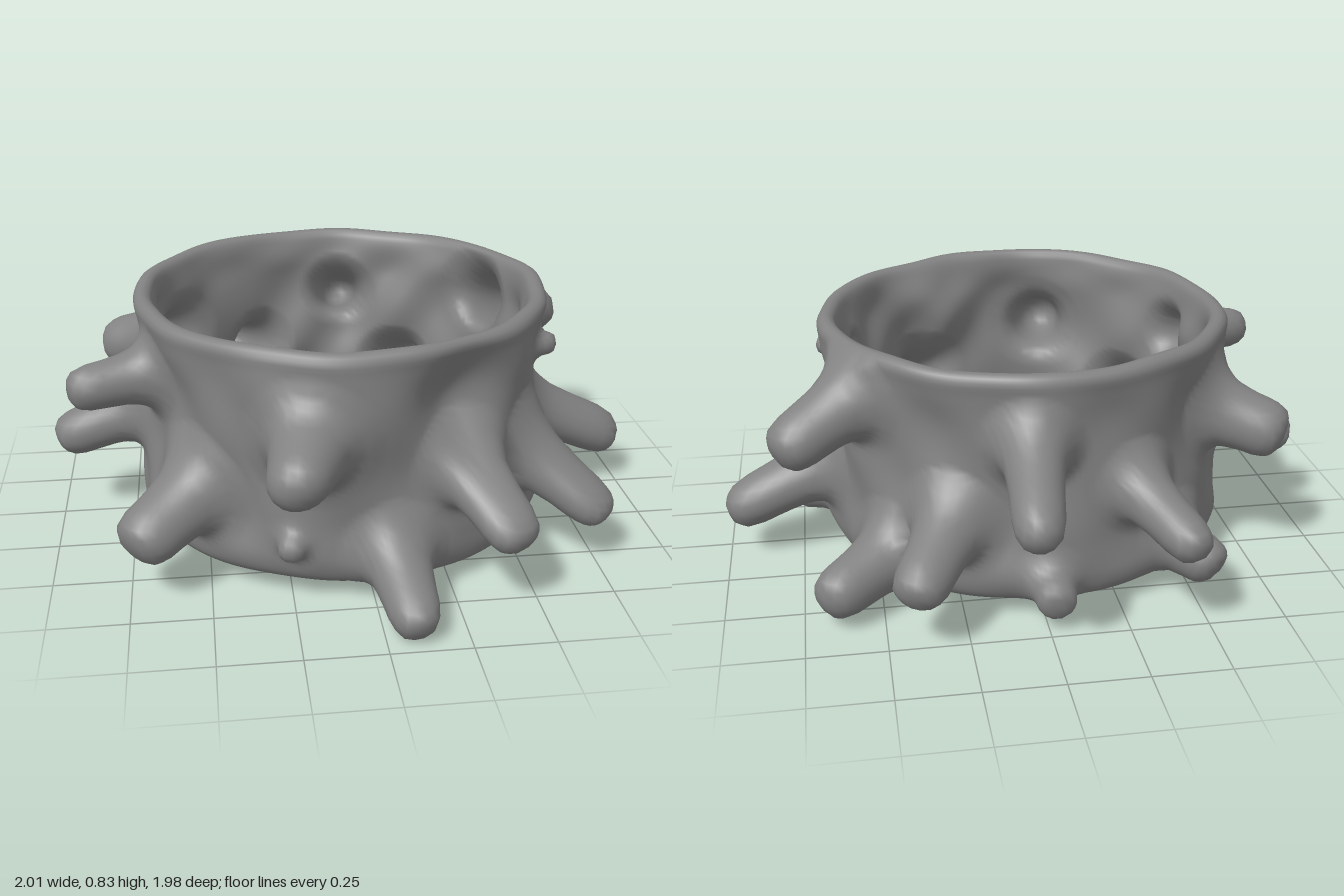
import * as THREE from 'three';
import { mergeVertices } from 'three/addons/utils/BufferGeometryUtils.js';

const CENTRE = new THREE.Vector3(-0.03, 0, 0.035);

// Spikes: tip x, y, z, height of the root, radius
const SPIKES = [
  [-0.265, 0.50, 0.985, 0.55, 0.105],
  [0.10, 0.04, 0.99, 0.17, 0.085],
  [0.43, 0.25, 0.85, 0.41, 0.095],
  [0.78, 0.16, 0.55, 0.36, 0.1],
  [0.78, 0.14, 0.15, 0.17, 0.085],
  [1.00, 0.17, -0.06, 0.33, 0.1],
  [0.81, 0.53, -0.43, 0.66, 0.1],
  [0.69, 0.11, -0.63, 0.17, 0.09],
  [0.43, 0.21, -0.82, 0.32, 0.09],
  [0.08, 0.46, -0.99, 0.60, 0.08],
  [-0.43, 0.32, -0.86, 0.42, 0.08],
  [-0.565, 0.11, -0.63, 0.18, 0.085],
  [-0.83, 0.48, -0.41, 0.55, 0.1],
  [-1.00, 0.29, 0.00, 0.41, 0.09],
  [-0.92, 0.60, 0.34, 0.62, 0.075],
  [-0.74, 0.20, 0.65, 0.31, 0.105],
  // small nubs
  [-0.27, 0.19, 0.75, 0.21, 0.045],
  [0.67, 0.65, 0.24, 0.65, 0.04],
  [-0.02, 0.11, -0.75, 0.13, 0.065],
];

// Spike outline: share of the root disc -> [width, length]
const OUTLINE = [
  [0, 0, 1], [0.12, 0.25, 0.98], [0.24, 0.42, 0.9], [0.35, 0.49, 0.74],
  [0.5, 0.51, 0.47], [0.66, 0.57, 0.22], [0.82, 0.74, 0.07], [1, 1, 0],
];
function outlineAt(t) {
  const k = Math.max(1, OUTLINE.findIndex((o) => o[0] >= t));
  const a = OUTLINE[k - 1], b = OUTLINE[k], f = (t - a[0]) / (b[0] - a[0]);
  return [a[1] + (b[1] - a[1]) * f, a[2] + (b[2] - a[2]) * f];
}

// Root, direction and reach of every spike, for a wall of the given radius
function rootsOn(wallRadius, widthScale, lengthScale) {
  return SPIKES.map(([x, y, z, rootY, r]) => {
    const tip = new THREE.Vector3(x, y, z);
    const root = tip.clone().sub(CENTRE).setY(0).setLength(wallRadius).add(CENTRE).setY(rootY);
    const dir = tip.clone().sub(root);
    const length = dir.length() * lengthScale;
    return { root, dir: dir.normalize(), length, reach: 2 * r * widthScale };
  });
}

// Pull the wall near a root out along its spike
function pullSpike(p, roots) {
  let best = null, bestT = 1;
  for (const s of roots) {
    const t = p.distanceTo(s.root) / s.reach;
    if (t < bestT) { bestT = t; best = s; }
  }
  if (!best) return;
  const t = Math.max(bestT, 1e-3);
  const [width, along] = outlineAt(t);
  const off = p.clone().sub(best.root);
  const axial = off.dot(best.dir);
  off.addScaledVector(best.dir, -axial).multiplyScalar(width / t);
  p.copy(best.root).add(off).addScaledVector(best.dir, axial * t * t + along * best.length);
}

// Soft unevenness of the wall, with a dent and a swelling in the front
function wobble(angle, y) {
  const dent = Math.hypot((angle - 0.47) * 0.68, y - 0.66) / 0.13;
  const swell = Math.hypot((angle + 0.17) * 0.68, y - 0.6) / 0.19;
  const calm = THREE.MathUtils.smoothstep(y, 0.04, 0.2)
    * (1 - 0.6 * THREE.MathUtils.smoothstep(y, 0.65, 0.82));
  return calm * (0.007 * Math.sin(5 * angle + 7 * y) + 0.006 * Math.sin(9 * angle - 11 * y + 1)
    + 0.005 * Math.sin(14 * angle + 17 * y + 2))
    - 0.07 * Math.exp(-dent * dent) + 0.06 * Math.exp(-swell * swell);
}

function bowlGeometry() {
  // Underside, outer wall, rolled rim, inner wall, floor with a raised centre
  const anchors = [
    [0, 0.09], [0.07, 0.085], [0.12, 0.055], [0.35, 0.052], [0.58, 0.05], [0.655, 0.075],
    [0.685, 0.14], [0.675, 0.28], [0.665, 0.45], [0.665, 0.62], [0.68, 0.76],
    [0.685, 0.81], [0.665, 0.83], [0.635, 0.825], [0.62, 0.79], [0.605, 0.62],
    [0.6, 0.4], [0.61, 0.2], [0.59, 0.125], [0.54, 0.1], [0.35, 0.1],
    [0.14, 0.102], [0.11, 0.125], [0.08, 0.135], [0.06, 0.145], [0, 0.15],
  ].map(([r, y]) => new THREE.Vector3(r, y, 0));
  const profile = new THREE.CatmullRomCurve3(anchors).getSpacedPoints(180)
    .map((v) => new THREE.Vector2(Math.max(0, v.x), v.y));
  const rim = profile.reduce((m, v, i) => (v.y > profile[m].y ? i : m), 0);

  const geo = new THREE.LatheGeometry(profile, 260);
  const outer = rootsOn(0.67, 1, 1);
  const inner = rootsOn(0.605, 0.84, 0.82);
  const pos = geo.attributes.position;
  const p = new THREE.Vector3();
  for (let i = 0; i < pos.count; i++) {
    p.fromBufferAttribute(pos, i);
    const j = i % profile.length;
    const r = Math.hypot(p.x, p.z);
    const angle = Math.atan2(p.x, p.z);
    const wall = THREE.MathUtils.smoothstep(r, 0.4, 0.57);
    // the inner face is more uneven than the outer
    let push = wobble(angle, p.y);
    if (j > rim) {
      const depth = THREE.MathUtils.smoothstep(0.82 - p.y, 0.02, 0.15);
      push += depth * (0.011 * Math.sin(11 * angle + 13 * p.y) + 0.009 * Math.sin(7 * angle - 15 * p.y));
    }
    if (r > 0) {
      const k = 1 + (push * wall) / r;
      p.x *= k;
      p.z *= k;
    }
    p.y += wall * 0.005 * Math.sin(6 * angle + 1) * Math.sin(3 * angle);
    p.add(CENTRE);
    if (wall > 0.5 && p.y < 0.81) pullSpike(p, j < rim ? outer : inner);
    p.y = Math.max(0, p.y);
    pos.setXYZ(i, p.x, p.y, p.z);
  }
  // close the seam so the shading runs smoothly around
  geo.deleteAttribute('uv');
  geo.deleteAttribute('normal');
  const closed = mergeVertices(geo, 1e-4);
  closed.computeVertexNormals();
  return closed;
}

export function createModel() {
  const group = new THREE.Group();
  group.name = 'spikedBowl';
  const material = new THREE.MeshStandardMaterial({ color: 0x828282, side: THREE.DoubleSide });
  const bowl = new THREE.Mesh(bowlGeometry(), material);
  bowl.name = 'bowlWithSpikes';
  group.add(bowl);
  return group;
}
